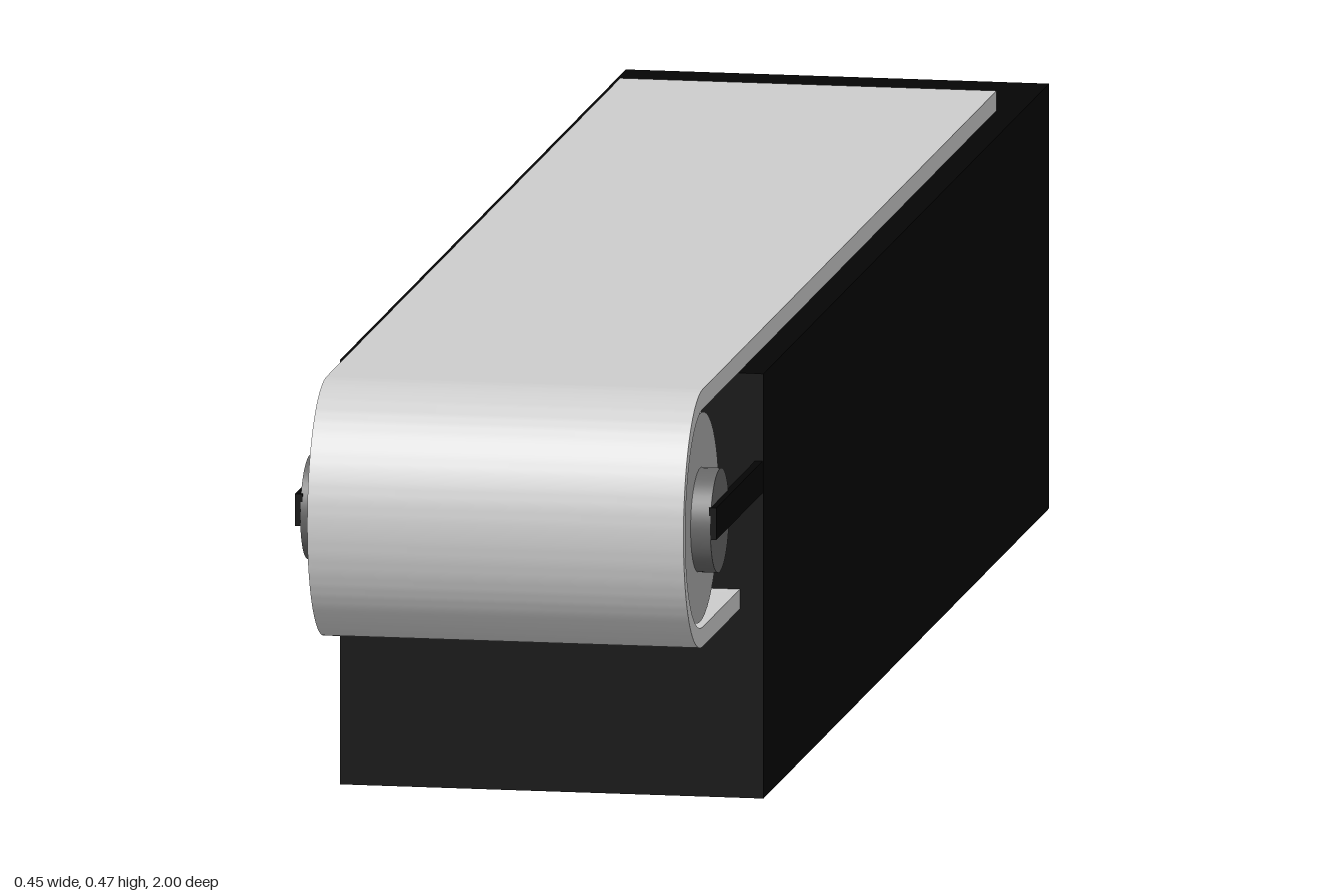
import * as THREE from 'three';
import { toCreasedNormals } from 'three/addons/utils/BufferGeometryUtils.js';

const BLACK = 0x050505, GREY = 0xcccccc;
const AXIS_Y = 0.338, AXIS_Z = 0.887;

function add(group, name, geometry, color, x = 0, y = 0, z = 0) {
  const mesh = new THREE.Mesh(geometry, new THREE.MeshStandardMaterial({ color }));
  mesh.name = name;
  mesh.position.set(x, y, z);
  group.add(mesh);
  return mesh;
}

// Cylinder lying along x
function drum(radius, length) {
  return new THREE.CylinderGeometry(radius, radius, length, 48).rotateZ(Math.PI / 2);
}

// Belt section drawn in (z, y): long top run, rounded nose, short return run
function beltGeometry(width) {
  const s = new THREE.Shape();
  s.moveTo(-0.83, 0.475);
  s.lineTo(AXIS_Z, 0.475);
  s.absellipse(AXIS_Z, AXIS_Y, 0.113, 0.137, Math.PI / 2, -Math.PI / 2, true);
  s.lineTo(0.6, 0.201);
  s.lineTo(0.6, 0.222);
  s.lineTo(AXIS_Z, 0.222);
  s.absellipse(AXIS_Z, AXIS_Y, 0.102, 0.116, -Math.PI / 2, Math.PI / 2, false);
  s.lineTo(-0.83, 0.454);
  s.closePath();
  const g = new THREE.ExtrudeGeometry(s, { depth: width, bevelEnabled: false, curveSegments: 32 });
  g.translate(0, 0, -width / 2).rotateY(-Math.PI / 2);
  return toCreasedNormals(g, 0.6);
}

export function createModel() {
  const model = new THREE.Group();
  model.name = 'conveyor';

  // Base block
  add(model, 'base', new THREE.BoxGeometry(0.45, 0.452, 1.67), BLACK, 0, 0.226, -0.165);

  // Belt wrapped round the front roller
  add(model, 'belt', beltGeometry(0.4), GREY);
  add(model, 'roller', drum(0.111, 0.394), 0xaaaaaa, 0, AXIS_Y, AXIS_Z);

  // Hubs and the arms that hold them, one per side
  for (const [side, label] of [[1, 'left'], [-1, 'right']]) {
    add(model, label + 'Hub', drum(0.055, 0.022), 0x666666, side * 0.207, AXIS_Y - 0.002, AXIS_Z);
    add(model, label + 'Arm', new THREE.BoxGeometry(0.008, 0.034, 0.29), BLACK, side * 0.22, 0.342, 0.795);
  }
  return model;
}
